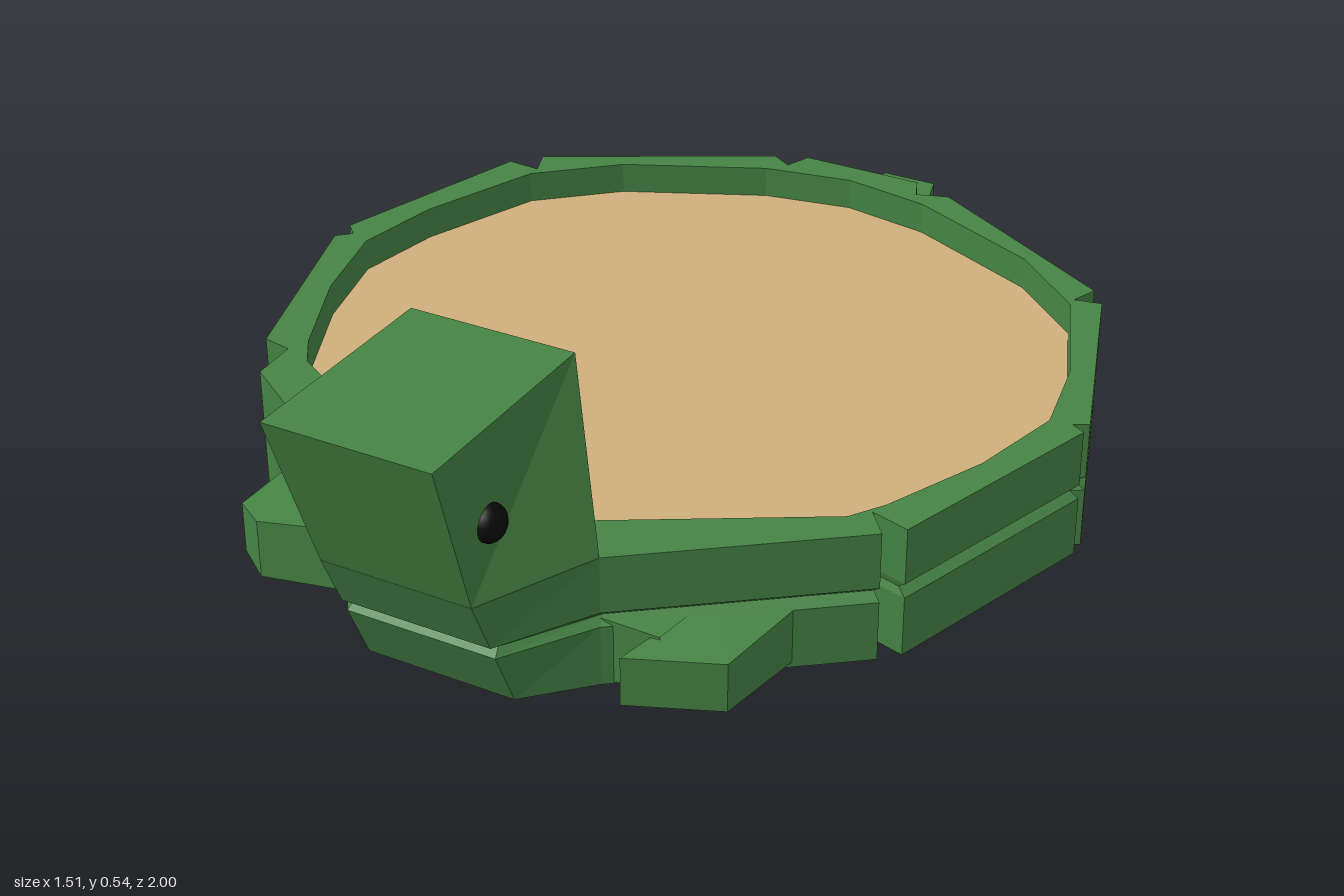
import * as THREE from 'three';

const green = new THREE.MeshStandardMaterial({ color: 0x468444, flatShading: true });
const sandColor = new THREE.MeshStandardMaterial({ color: 0xd0ae7c, flatShading: true });
const black = new THREE.MeshStandardMaterial({ color: 0x0a0a0a });

// Outer wall plan as [x, z], counter-clockwise from above, with small notches at the joints
const outline = [
  [0.135, 0.79], [0.235, 0.69], [0.59, 0.42], [0.55, 0.37], [0.62, 0.39],
  [0.755, -0.02], [0.73, -0.035], [0.755, -0.05], [0.62, -0.46], [0.57, -0.45], [0.59, -0.5],
  [0.2, -0.73], [0.14, -0.71], [0.12, -0.76], [-0.12, -0.76], [-0.14, -0.71], [-0.18, -0.735],
  [-0.59, -0.51], [-0.57, -0.455], [-0.635, -0.46], [-0.755, -0.07], [-0.73, -0.045], [-0.755, -0.02],
  [-0.63, 0.37], [-0.575, 0.38], [-0.57, 0.47], [-0.24, 0.69], [-0.14, 0.79],
];
// Sandpit plan
const pit = [
  [0.16, 0.61], [0.52, 0.4], [0.56, 0.34], [0.645, 0.15], [0.69, -0.03], [0.66, -0.2], [0.57, -0.43],
  [0.43, -0.555], [0.17, -0.675], [0, -0.705], [-0.17, -0.675], [-0.43, -0.555], [-0.57, -0.43],
  [-0.66, -0.2], [-0.69, -0.03], [-0.645, 0.15], [-0.56, 0.34], [-0.52, 0.4], [-0.16, 0.61],
];

// The front of the neck leans forward with height
const ring = (y, s = 1) => outline.map(([x, z]) => [x * s, y, (z > 0.75 ? z + 0.46 * y : z) * s]);
const level = (points, y) => points.map(([x, z]) => [x, y, z]);

// Polygons given as lists of corners, cut into triangle fans
function faces(polygons) {
  const pos = [];
  for (const p of polygons)
    for (let i = 1; i < p.length - 1; i++) pos.push(...p[0], ...p[i], ...p[i + 1]);
  const g = new THREE.BufferGeometry();
  g.setAttribute('position', new THREE.Float32BufferAttribute(pos, 3));
  g.computeVertexNormals();
  return g;
}

// Side walls between rings of equal length, listed from low to high
function walls(rings) {
  const out = [];
  for (let r = 0; r < rings.length - 1; r++) {
    const lo = rings[r], hi = rings[r + 1];
    lo.forEach((p, i) => {
      const j = (i + 1) % lo.length;
      out.push([p, lo[j], hi[j], hi[i]]);
    });
  }
  return faces(out);
}

// Flat cap through a ring of corners, with an optional hole
function cap(points, y, up = true, hole) {
  const s = up ? -1 : 1;
  const flat = (list) => list.map(([x, , z]) => new THREE.Vector2(x, s * z));
  const shape = new THREE.Shape(flat(points));
  if (hole) shape.holes.push(new THREE.Path(flat(hole)));
  return new THREE.ShapeGeometry(shape).rotateX(s * Math.PI / 2).translate(0, y, 0);
}

// Low block from corners [x, z, bottom, top]; the first corner lies inside the body
function block(corners) {
  const lo = corners.map(([x, z, b]) => [x, b, z]);
  const hi = corners.map(([x, z, , t]) => [x, t, z]);
  const sides = lo.map((p, i) => {
    const j = (i + 1) % lo.length;
    return [p, lo[j], hi[j], hi[i]];
  });
  return faces([...sides, hi, [lo[0], ...lo.slice(1).reverse()]]);
}

export function createModel() {
  const model = new THREE.Group();
  const add = (name, geometry, material = green) => {
    const mesh = new THREE.Mesh(geometry, material);
    mesh.name = name;
    model.add(mesh);
    return mesh;
  };

  // Body: two tiers with a groove between them, open at the top
  const top = 0.24, sandY = 0.18;
  add('bodyWall', walls([ring(0), ring(0.11), ring(0.123, 0.975), ring(0.137), ring(top)]));
  add('bodyBase', cap(ring(0), 0, false));
  add('rimTop', cap(ring(top), top, true, level(pit, top)));
  add('rimInside', walls([level(pit, top), level(pit, sandY)]));
  add('sand', cap(level(pit, sandY), sandY), sandColor);

  // Head: tapered block growing out of the neck, a = top front, b = top back, c = low front, d = low back
  const a = [0.145, 0.535, 1], b = [0.145, 0.535, 0.6], c = [0.135, 0.24, 0.9], d = [0.235, 0.24, 0.69];
  const A = [-0.155, 0.535, 1], B = [-0.155, 0.535, 0.6], C = [-0.14, 0.24, 0.9], D = [-0.24, 0.24, 0.69];
  add('head', faces([
    [A, C, c, a], [b, d, D, B], [A, a, b, B],
    [a, c, b], [b, c, d], [A, B, D], [A, D, C],
  ]));
  const eye = add('eye', new THREE.SphereGeometry(0.032, 20, 12), black);
  eye.scale.x = 0.8;
  eye.position.set(0.142, 0.367, 0.85);

  // Feet and tail
  add('frontLeftFoot', block([
    [0.36, 0.52, 0, 0.12], [0.23, 0.68, 0, 0.12], [0.33, 0.67, 0.01, 0.11],
    [0.295, 0.735, 0.01, 0.1], [0.45, 0.67, 0.01, 0.1], [0.48, 0.5, 0.01, 0.11],
  ]));
  add('frontRightFoot', block([
    [-0.36, 0.5, 0, 0.12], [-0.48, 0.53, 0.01, 0.105], [-0.48, 0.66, 0.01, 0.105],
    [-0.42, 0.7, 0, 0.11], [-0.26, 0.665, 0, 0.12],
  ]));
  add('backLeftFoot', block([
    [0.36, -0.55, 0, 0.12], [0.58, -0.5, 0, 0.12], [0.52, -0.62, 0.01, 0.085],
    [0.45, -0.7, 0.03, 0.07], [0.34, -0.76, 0.045, 0.07], [0.24, -0.7, 0.02, 0.12],
  ]));
  add('backRightFoot', block([
    [-0.3, -0.6, 0, 0.12], [-0.13, -0.71, 0, 0.12], [-0.17, -0.765, 0.01, 0.1],
    [-0.33, -0.84, 0, 0.04], [-0.44, -0.76, 0, 0.04], [-0.46, -0.6, 0, 0.11],
  ]));
  add('tail', block([
    [0, -0.6, 0, 0.12], [0.13, -0.73, 0, 0.12], [0.055, -1, 0, 0.12],
    [-0.055, -1, 0, 0.12], [-0.13, -0.73, 0, 0.12],
  ]));

  return model;
}
